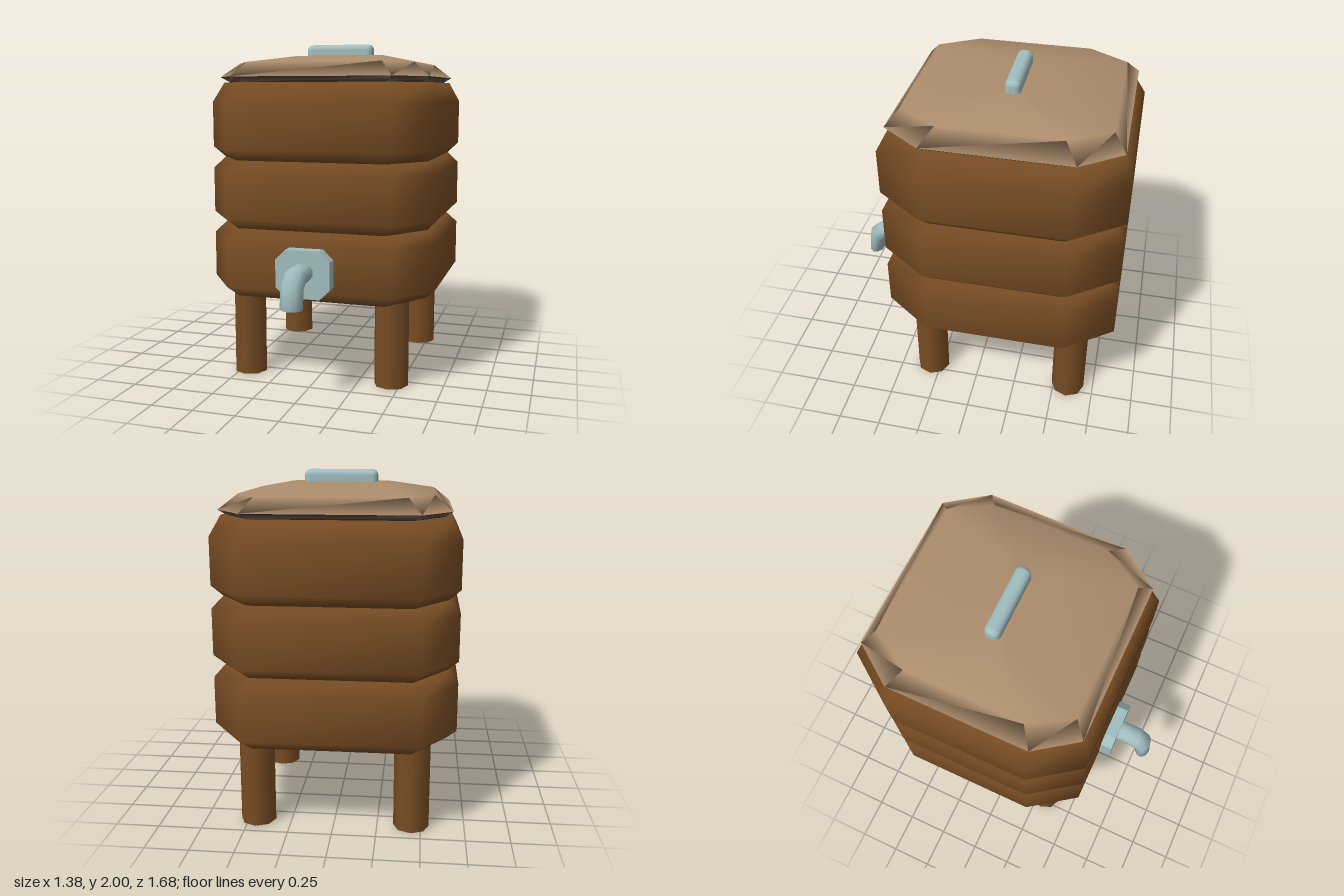
import * as THREE from 'three';
import { RoundedBoxGeometry } from 'three/addons/geometries/RoundedBoxGeometry.js';

// Skin a stack of equal-sized point rings, closing both ends with fans
function loft(rings) {
  const n = rings[0].length, pos = [], idx = [];
  rings.forEach(r => r.forEach(p => pos.push(p.x, p.y, p.z)));
  for (let i = 0; i < rings.length - 1; i++) {
    for (let j = 0; j < n; j++) {
      const a = i * n + j, b = i * n + (j + 1) % n;
      idx.push(a, b, b + n, a, b + n, a + n);
    }
  }
  [rings[0], rings[rings.length - 1]].forEach((ring, end) => {
    const c = pos.length / 3, start = end ? (rings.length - 1) * n : 0;
    const mid = ring.reduce((s, p) => s.add(p), new THREE.Vector3()).divideScalar(n);
    pos.push(mid.x, mid.y, mid.z);
    for (let j = 0; j < n; j++) {
      const a = start + j, b = start + (j + 1) % n;
      if (end) idx.push(c, a, b); else idx.push(c, b, a);
    }
  });
  const g = new THREE.BufferGeometry();
  g.setAttribute('position', new THREE.Float32BufferAttribute(pos, 3));
  g.setIndex(idx);
  g.computeVertexNormals();
  return g;
}

// Corner-cut rectangle: half sizes hx, hz and half lengths cx, cz of its flat edges
function octagon(y, hx, hz, cx, cz) {
  return [[hx, cz], [hx, -cz], [cx, -hz], [-cx, -hz], [-hx, -cz], [-hx, cz], [-cx, hz], [cx, hz]]
    .map(([x, z]) => new THREE.Vector3(x, y, z));
}

export function createModel() {
  const wood = new THREE.MeshStandardMaterial({ color: 0x774c23 });
  const lidTan = new THREE.MeshStandardMaterial({ color: 0xab8c6c });
  const lidDark = new THREE.MeshStandardMaterial({ color: 0x483a35 });
  const metal = new THREE.MeshStandardMaterial({ color: 0xa0bdc0 });
  wood.name = 'brown wood';
  lidTan.name = 'tan lid';
  lidDark.name = 'dark lid edge';
  metal.name = 'pale blue metal';

  const model = new THREE.Group();
  model.name = 'waterTank';
  const add = (name, geometry, material, x = 0, y = 0, z = 0) => {
    const mesh = new THREE.Mesh(geometry, material);
    mesh.name = name;
    mesh.position.set(x, y, z);
    model.add(mesh);
  };
  const cz = -0.15; // centre of the tank, set back to leave room for the tap

  // Three bulging body sections: bottom, bulge start, bulge end, top
  const sections = [[0.515, 0.575, 0.85, 0.913], [0.919, 0.98, 1.25, 1.314], [1.317, 1.38, 1.65, 1.765]];
  sections.forEach(([y0, y1, y2, y3], i) => {
    const narrow = y => octagon(y, 0.63, 0.63, 0.44, 0.37);
    const wide = y => octagon(y, 0.69, 0.69, 0.49, 0.41);
    add(`bodySection${i + 1}`, loft([narrow(y0), wide(y1), wide(y2), narrow(y3)]), wood, 0, 0, cz);
  });

  // Lid: dark underside and shallow domed top
  add('lidUnderside', loft([
    octagon(1.765, 0.59, 0.59, 0.43, 0.37),
    octagon(1.797, 0.635, 0.64, 0.47, 0.41),
  ]), lidDark, 0, 0, cz);
  add('lidTop', loft([
    octagon(1.797, 0.635, 0.64, 0.47, 0.41),
    octagon(1.88, 0.535, 0.57, 0.4, 0.34),
    octagon(1.93, 0.29, 0.12, 0.24, 0.07),
  ]), lidTan, 0, 0, cz);
  add('lidHandle', new RoundedBoxGeometry(0.425, 0.12, 0.09, 2, 0.035), metal, 0, 1.94, cz);

  // Legs
  for (const x of [-0.445, 0.445]) {
    for (const z of [0.3, -0.59]) {
      add('leg', new THREE.CylinderGeometry(0.102, 0.102, 0.53, 8), wood, x, 0.265, z);
    }
  }

  // Tap mounting plate
  const plate = new THREE.Shape([[0.1, -0.138], [0.16, -0.08], [0.16, 0.08], [0.1, 0.138],
    [-0.1, 0.138], [-0.16, 0.08], [-0.16, -0.08], [-0.1, -0.138]].map(p => new THREE.Vector2(...p)));
  add('tapPlate', new THREE.ExtrudeGeometry(plate, { depth: 0.072, bevelEnabled: false }),
    metal, 0, 0.698, 0.54);

  // Bent spout: inner and outer edge (z, y) of each ring
  const spout = [
    [0.6, 0.655, 0.6, 0.767], [0.708, 0.655, 0.745, 0.767],
    [0.737, 0.634, 0.825, 0.7], [0.745, 0.554, 0.84, 0.545],
  ].map(([zi, yi, zo, yo]) => Array.from({ length: 10 }, (_, k) => {
    const t = k / 10 * Math.PI * 2, c = Math.cos(t) / 2;
    return new THREE.Vector3(-0.065 * Math.sin(t),
      (yi + yo) / 2 + (yo - yi) * c, (zi + zo) / 2 + (zo - zi) * c);
  }));
  add('tapSpout', loft(spout), metal);

  return model;
}
